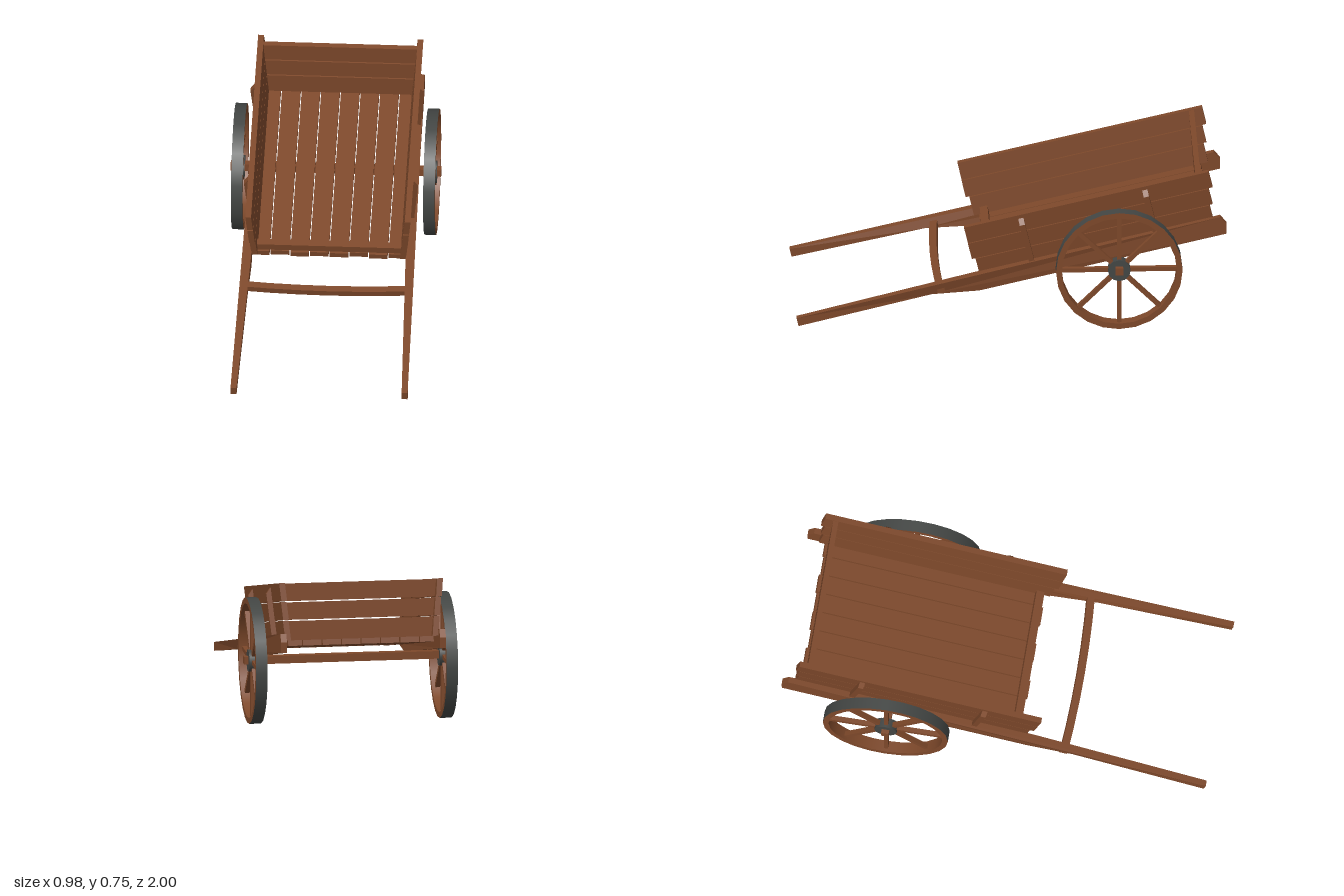
import * as THREE from 'three';

const wood = new THREE.MeshStandardMaterial({ color: 0x7d482a });
wood.name = 'brown wood';
const iron = new THREE.MeshStandardMaterial({ color: 0x434644 });
iron.name = 'dark iron';

function add(parent, name, geo, mat = wood) {
  const mesh = new THREE.Mesh(geo, mat);
  mesh.name = name;
  parent.add(mesh);
  return mesh;
}

// Box given by its limits on each axis
function box(x0, x1, y0, y1, z0, z1, sx = 1) {
  const g = new THREE.BoxGeometry(x1 - x0, y1 - y0, z1 - z0, sx, 1, 1);
  return g.translate((x0 + x1) / 2, (y0 + y1) / 2, (z0 + z1) / 2);
}

// Move every vertex by a rule, then make the faces flat again
function bend(geo, rule) {
  const g = geo.index ? geo.toNonIndexed() : geo;
  const p = g.attributes.position;
  const v = new THREE.Vector3();
  for (let i = 0; i < p.count; i++) {
    v.fromBufferAttribute(p, i);
    rule(v);
    p.setXYZ(i, v.x, v.y, v.z);
  }
  g.computeVertexNormals();
  return g;
}

function shapeOf(points) {
  return new THREE.Shape(points.map(([x, y]) => new THREE.Vector2(x, y)));
}

// Wheel around the x axis: wooden rim, iron tyre, spokes and hub
function makeWheel(name) {
  const wheel = new THREE.Group();
  wheel.name = name;
  const half = 0.027, outer = 0.295, inner = 0.268, sides = 24;
  const rimProfile = [[outer, half], [inner, half], [inner, -half], [outer, -half]];
  for (let i = 0; i < 3; i++) {
    const pts = [rimProfile[i + 1], rimProfile[i]].map(([r, y]) => new THREE.Vector2(r, y));
    add(wheel, 'rim', new THREE.LatheGeometry(pts, sides).rotateZ(Math.PI / 2)).material = rimWood;
  }
  add(wheel, 'tyre', new THREE.CylinderGeometry(outer, outer, half * 2, sides, 1, true).rotateZ(Math.PI / 2), iron);
  for (let i = 0; i < 8; i++) {
    const spoke = box(-0.011, 0.011, 0.04, 0.275, -0.01, 0.01);
    add(wheel, 'spoke', spoke.rotateX(i * Math.PI / 4));
  }
  add(wheel, 'hub', new THREE.CylinderGeometry(0.053, 0.053, 0.046, 12).rotateZ(Math.PI / 2), iron);
  return wheel;
}

const rimWood = wood.clone();
rimWood.name = 'brown wood rim';
rimWood.side = THREE.DoubleSide;

export function createModel() {
  const cart = new THREE.Group();
  cart.name = 'handCart';

  // The bed and shafts share one tilted frame; floor top is its y = 0
  const bed = new THREE.Group();
  bed.name = 'bed';
  bed.position.set(0, 0.36, -0.4);
  bed.rotation.x = 0.2275;
  cart.add(bed);

  // Floor planks with slightly uneven ends
  const edges = [-0.345, -0.275, -0.183, -0.092, 0, 0.092, 0.183, 0.275, 0.345];
  const uneven = [0, 0.006, -0.003, 0.004, 0.001, 0.006, -0.002, 0.003];
  for (let i = 0; i < 8; i++) {
    add(bed, 'floorPlank', box(edges[i] + 0.0025, edges[i + 1] - 0.0025, -0.026, 0,
      -0.522 - uneven[i], 0.534 + uneven[7 - i]));
  }
  add(bed, 'frontSill', box(-0.34, 0.34, 0, 0.034, 0.49, 0.527));

  // Board rows: bottom, top, rear end, front end
  const rows = [
    [0.0, 0.092, -0.557, 0.562],
    [0.096, 0.179, -0.572, 0.579],
    [0.183, 0.267, -0.592, 0.578],
  ];
  const lean = 0.095;
  for (const [y0, y1, z0, z1] of rows) {
    for (const s of [-1, 1]) {
      add(bed, s > 0 ? 'leftSideBoard' : 'rightSideBoard',
        bend(box(-0.0135, 0.0135, y0, y1, z0, z1), v => { v.x += s * (0.3465 + lean * v.y); }));
    }
    // Tail boards lean back and widen with the sides
    add(bed, 'tailBoard', bend(box(-1, 1, y0, y1 - 0.002, -0.513, -0.488), v => {
      v.x *= 0.337 + lean * v.y;
      v.z -= 0.15 * v.y;
    }));
  }

  const shaftSide = [
    [1.437, 0.02], [0.6, 0.025], [-0.592, 0.031], [-0.614, -0.01], [-0.602, -0.058],
    [0.58, -0.06], [0.8, -0.022], [1.437, -0.021],
  ];
  for (const s of [-1, 1]) {
    // Long shaft that runs under the side boards and splays at the handles
    const g = new THREE.ExtrudeGeometry(shapeOf(shaftSide), { depth: 0.028, bevelEnabled: false });
    g.rotateY(-Math.PI / 2).translate(0.014, 0, 0);
    add(bed, s > 0 ? 'leftShaft' : 'rightShaft', bend(g, v => {
      v.x += s * (0.374 + 0.025 * Math.max(0, (v.z - 0.6) / 0.837));
    }));

    // Stakes outside the side boards, with chamfered tops
    const stake = [[0.36, 0.02], [0.386, 0.02], [0.405, 0.222], [0.386, 0.25], [0.378, 0.25]];
    for (const z of [0.31, -0.283]) {
      const geo = new THREE.ExtrudeGeometry(shapeOf(stake.map(([x, y]) => [s * x, y])),
        { depth: 0.025, bevelEnabled: false });
      add(bed, 'sideStake', geo.translate(0, 0, z - 0.0125));
    }
  }

  // Slightly bowed bar between the shafts
  add(bed, 'crossBar', bend(box(-0.398, 0.398, -0.025, 0.004, 0.735, 0.77, 6), v => {
    v.z += 0.016 * (1 - (v.x / 0.398) ** 2);
  }));

  // Axle and wheels
  add(cart, 'axle', box(-0.491, 0.491, 0.281, 0.317, -0.515, -0.479));
  for (const s of [-1, 1]) {
    const wheel = makeWheel(s > 0 ? 'leftWheel' : 'rightWheel');
    wheel.position.set(s * 0.448, 0.296, -0.497);
    cart.add(wheel);
  }
  return cart;
}
